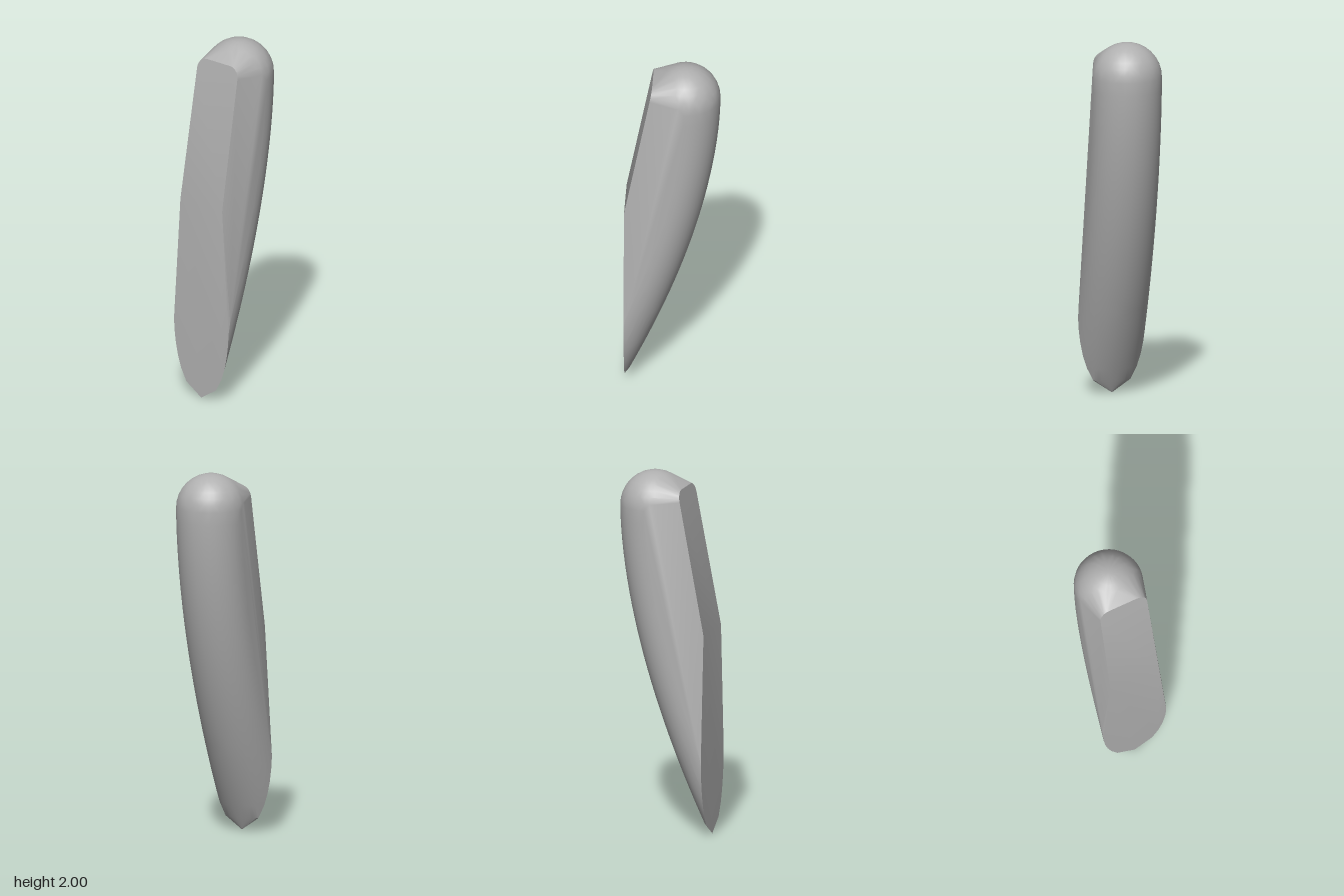
import * as THREE from 'three';
import { toCreasedNormals } from 'three/addons/utils/BufferGeometryUtils.js';
import { ConvexGeometry } from 'three/addons/geometries/ConvexGeometry.js';

const R = 0.19;       // half thickness
const BACK = -0.26;   // upright rear cut
const TOP = 1.81;     // centre height of the dome
const FRONT = 0.257;  // furthest reach of the curved edge

export function createModel() {
  const group = new THREE.Group();
  const grey = new THREE.MeshStandardMaterial({ color: 0xb0b0b0 });
  grey.name = 'grey';

  const points = [];
  const add = (x, y, z) => points.push(new THREE.Vector3(x, y, z));

  // Rounded outer edge: half ellipses stacked along a curve, cut at the rear
  const rows = 26, arc = 20;
  for (let i = 0; i <= rows; i++) {
    const y = TOP * i / rows;
    const t = 1 - i / rows;
    const x = FRONT - (FRONT - BACK) * t ** 1.74;
    const slope = 0.497 * t ** 0.74;
    const a = R * Math.sqrt(1 + slope * slope);
    const cx = x - a;
    const limit = Math.acos(Math.max(0, Math.min(1, (BACK - cx) / a)));
    for (let j = 0; j <= arc; j++) {
      const angle = limit * (2 * j / arc - 1);
      add(cx + a * Math.cos(angle), y, R * Math.sin(angle));
      if (limit === 0) break;
    }
  }

  // Dome
  for (let i = 1; i <= 8; i++) {
    const lat = i * Math.PI / 16;
    for (let j = 0; j < 40; j++) {
      const lon = j * Math.PI / 20;
      add(FRONT - R + R * Math.cos(lat) * Math.cos(lon), TOP + R * Math.sin(lat), R * Math.cos(lat) * Math.sin(lon));
      if (i === 8) break;
    }
  }

  // Sloping rear face, with rounded upper corners
  const slopeX = (y) => BACK + 0.15 * (y - 1.13) / 0.79;
  for (const side of [-1, 1]) {
    add(BACK, 1.13, side * 0.145);
    for (let i = 0; i <= 5; i++) {
      const angle = i * Math.PI / 10;
      const y = 1.86 + 0.06 * Math.sin(angle);
      add(slopeX(y), y, side * (0.08 + 0.06 * Math.cos(angle)));
    }
  }

  // Wrap the whole outline in one convex skin
  const body = new THREE.Mesh(toCreasedNormals(new ConvexGeometry(points), 0.3), grey);
  body.name = 'curvedBody';
  group.add(body);
  return group;
}
